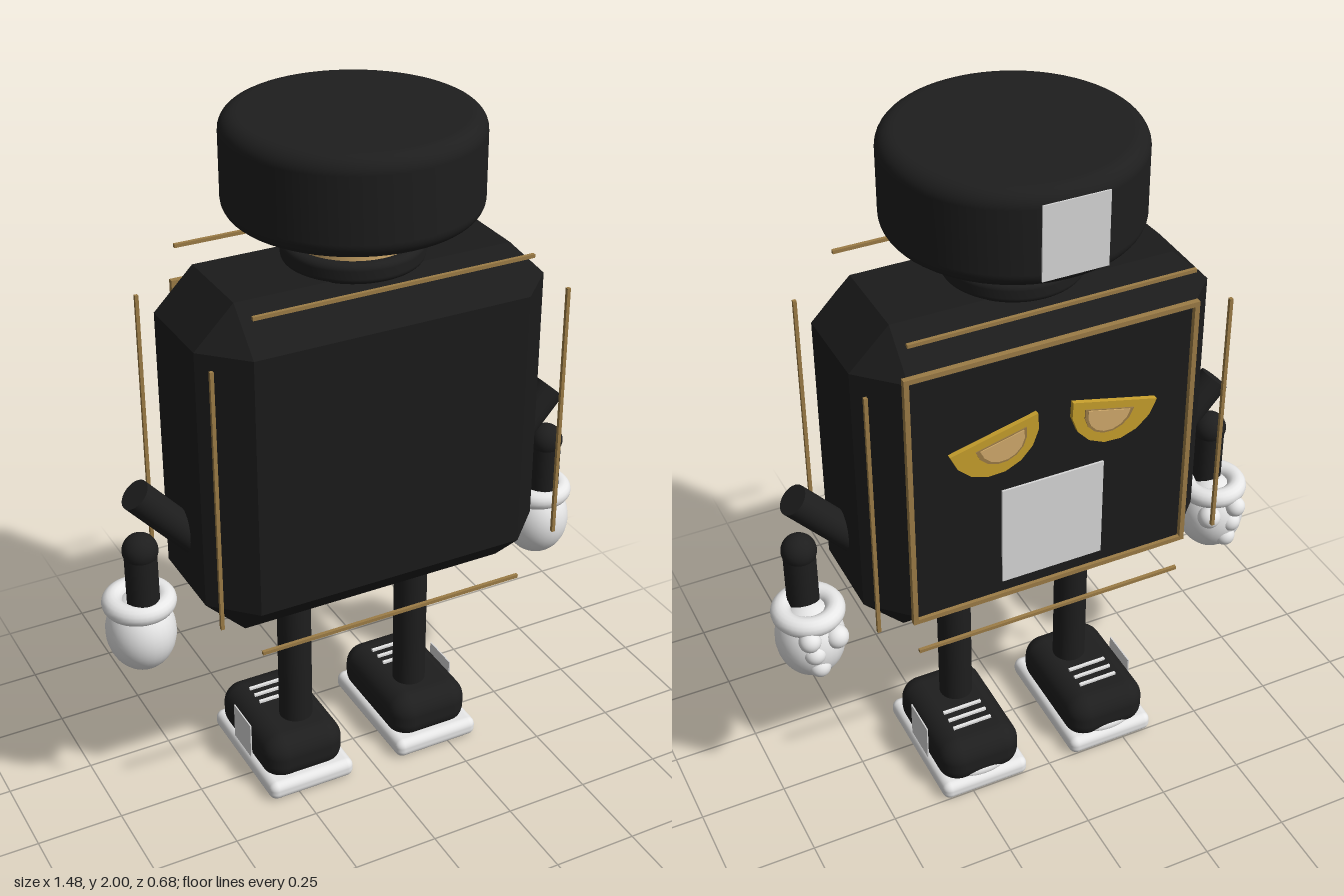
import * as THREE from 'three';
import { RoundedBoxGeometry } from 'three/addons/geometries/RoundedBoxGeometry.js';
import { ConvexGeometry } from 'three/addons/geometries/ConvexGeometry.js';

const mat = (name, color, side = THREE.FrontSide) => {
  const m = new THREE.MeshStandardMaterial({ color, side });
  m.name = name;
  return m;
};

export function createModel() {
  const root = new THREE.Group();
  root.name = 'boxRobot';
  const black = mat('black', 0x1e1e1e);
  const bodyBlack = mat('bodyBlack', 0x1b1b1b);
  const white = mat('white', 0xf0f0f0);
  const label = mat('labelGrey', 0xd8d8d8, THREE.DoubleSide);
  const tan = mat('tan', 0xd2ab6c);
  const trim = mat('trimGold', 0x9c7c46);
  const gold = mat('eyeGold', 0xc79f2c);

  const add = (name, geo, material, x = 0, y = 0, z = 0) => {
    const m = new THREE.Mesh(geo, material);
    m.name = name;
    m.position.set(x, y, z);
    root.add(m);
    return m;
  };
  const box = (name, material, w, h, d, x, y, z) =>
    add(name, new THREE.BoxGeometry(w, h, d), material, x, y, z);
  const ball = (name, material, r, x, y, z, sx = 1, sy = 1, sz = 1) => {
    const m = add(name, new THREE.SphereGeometry(r, 28, 20), material, x, y, z);
    m.scale.set(sx, sy, sz);
    return m;
  };
  // Solid of revolution with rounded rims
  const disc = (r, h, e) => {
    const pts = [new THREE.Vector2(0, 0), new THREE.Vector2(r - e - 0.01, 0)];
    for (let i = 0; i <= 8; i++) {
      const a = -Math.PI / 2 + (i / 8) * Math.PI / 2;
      pts.push(new THREE.Vector2(r - e + Math.cos(a) * e, e + Math.sin(a) * e));
    }
    for (let i = 0; i <= 8; i++) {
      const a = (i / 8) * Math.PI / 2;
      pts.push(new THREE.Vector2(r - e + Math.cos(a) * e, h - e + Math.sin(a) * e));
    }
    pts.push(new THREE.Vector2(r - e - 0.01, h), new THREE.Vector2(0, h));
    return new THREE.LatheGeometry(pts, 64);
  };

  // Chamfered body
  const W = 0.51, H = 0.49, D = 0.24, c = 0.112, cy = 1.12;
  const corners = [];
  for (const sx of [-1, 1]) for (const sy of [-1, 1]) for (const sz of [-1, 1]) {
    corners.push(
      new THREE.Vector3(sx * W, sy * (H - c), sz * (D - c)),
      new THREE.Vector3(sx * (W - c), sy * H, sz * (D - c)),
      new THREE.Vector3(sx * (W - c), sy * (H - c), sz * D));
  }
  add('body', new ConvexGeometry(corners), bodyBlack, 0, cy, 0);

  // Floating trim rods around the body
  for (const a of [-1, 1]) for (const b of [-1, 1]) {
    box('horizontalTrim', trim, 0.8, 0.01, 0.01, 0, cy + a * 0.497, b * 0.243);
    box('verticalTrim', trim, 0.01, 0.76, 0.01, a * 0.513, cy, b * 0.243);
  }

  // Face frame
  for (const s of [-1, 1]) {
    box('faceFrameRail', trim, 0.83, 0.014, 0.016, 0, 1.125 + s * 0.39, -0.243);
    box('faceFrameStile', trim, 0.014, 0.794, 0.016, s * 0.408, 1.125, -0.243);
  }

  // Mouth plate
  box('mouthPlate', label, 0.3, 0.31, 0.006, 0, 0.935, -0.244);

  // Half-moon eyes
  const halfMoon = (r, n) => {
    const shape = new THREE.Shape();
    for (let i = 0; i <= n; i++) {
      const a = Math.PI + (i / n) * Math.PI;
      if (i === 0) shape.moveTo(Math.cos(a) * r, Math.sin(a) * r);
      else shape.lineTo(Math.cos(a) * r, Math.sin(a) * r);
    }
    shape.closePath();
    return shape;
  };
  const plate = (shape, depth) => new THREE.ExtrudeGeometry(shape, { depth, bevelEnabled: false });
  for (const s of [-1, 1]) {
    const tilt = -s * 0.24;
    const layers = [['eye', 0.128, 0.016, gold, 0], ['irisRim', 0.074, 0.019, trim, 0.018], ['iris', 0.064, 0.022, tan, 0.02]];
    for (const [name, r, depth, m, drop] of layers) {
      const e = add(name, plate(halfMoon(r, 8), depth), m, s * (0.175 - drop), 1.285 - drop, -0.238 - depth);
      e.rotation.z = tilt;
    }
  }

  // Neck, collar and head
  add('neck', new THREE.CylinderGeometry(0.165, 0.165, 0.16, 48), tan, 0, 1.68, 0);
  add('collar', disc(0.19, 0.058, 0.018), black, 0, 1.603, 0);
  add('head', disc(0.34, 0.265, 0.045), black, 0, 1.735, 0);
  box('headPlate', label, 0.18, 0.205, 0.004, 0, 1.87, -0.342);

  const up = new THREE.Vector3(0, 1, 0);
  for (const s of [-1, 1]) {
    // Arm
    const from = new THREE.Vector3(s * 0.44, 0.83, 0), to = new THREE.Vector3(s * 0.642, 1.057, 0);
    const dir = to.clone().sub(from);
    const upper = add('upperArm', new THREE.CylinderGeometry(0.045, 0.045, dir.length(), 28), black);
    upper.position.copy(from).add(to).multiplyScalar(0.5);
    upper.quaternion.setFromUnitVectors(up, dir.normalize());
    const ax = s * 0.638, hz = -0.035;
    add('forearm', new THREE.CylinderGeometry(0.045, 0.045, 0.22, 28), black, ax, 0.78, 0);
    ball('elbow', black, 0.049, ax, 0.883, 0);

    // Glove
    add('gloveCuff', new THREE.TorusGeometry(0.074, 0.029, 16, 40).rotateX(Math.PI / 2), white, ax, 0.70, hz);
    ball('glove', white, 0.1, ax, 0.605, hz, 0.97, 1.17, 1.05);
    for (let i = 0; i < 3; i++)
      ball('finger', white, 0.031, ax + s * (0.03 - i * 0.012), 0.665 - i * 0.052, hz - 0.088 + i * 0.003);
    ball('thumb', white, 0.034, ax - s * 0.05, 0.645, hz - 0.078);

    // Leg and shoe
    add('leg', new THREE.CylinderGeometry(0.049, 0.049, 0.58, 32), black, s * 0.19, 0.39, 0);
    const fx = s * 0.208;
    add('shoeSole', new RoundedBoxGeometry(0.27, 0.058, 0.415, 4, 0.024), white, fx, 0.034, -0.052);
    add('shoeUpper', new RoundedBoxGeometry(0.25, 0.15, 0.375, 6, 0.062), black, fx, 0.105, -0.06);
    ball('toeCap', white, 0.1, fx, 0.068, -0.222, 0.75, 0.25, 0.28);
    for (let i = 0; i < 3; i++)
      box('lace', white, 0.12, 0.008, 0.009, fx, 0.183, -0.085 - i * 0.035);
    box('shoePlate', label, 0.004, 0.115, 0.115, s * 0.335, 0.118, -0.06);
  }
  return root;
}
